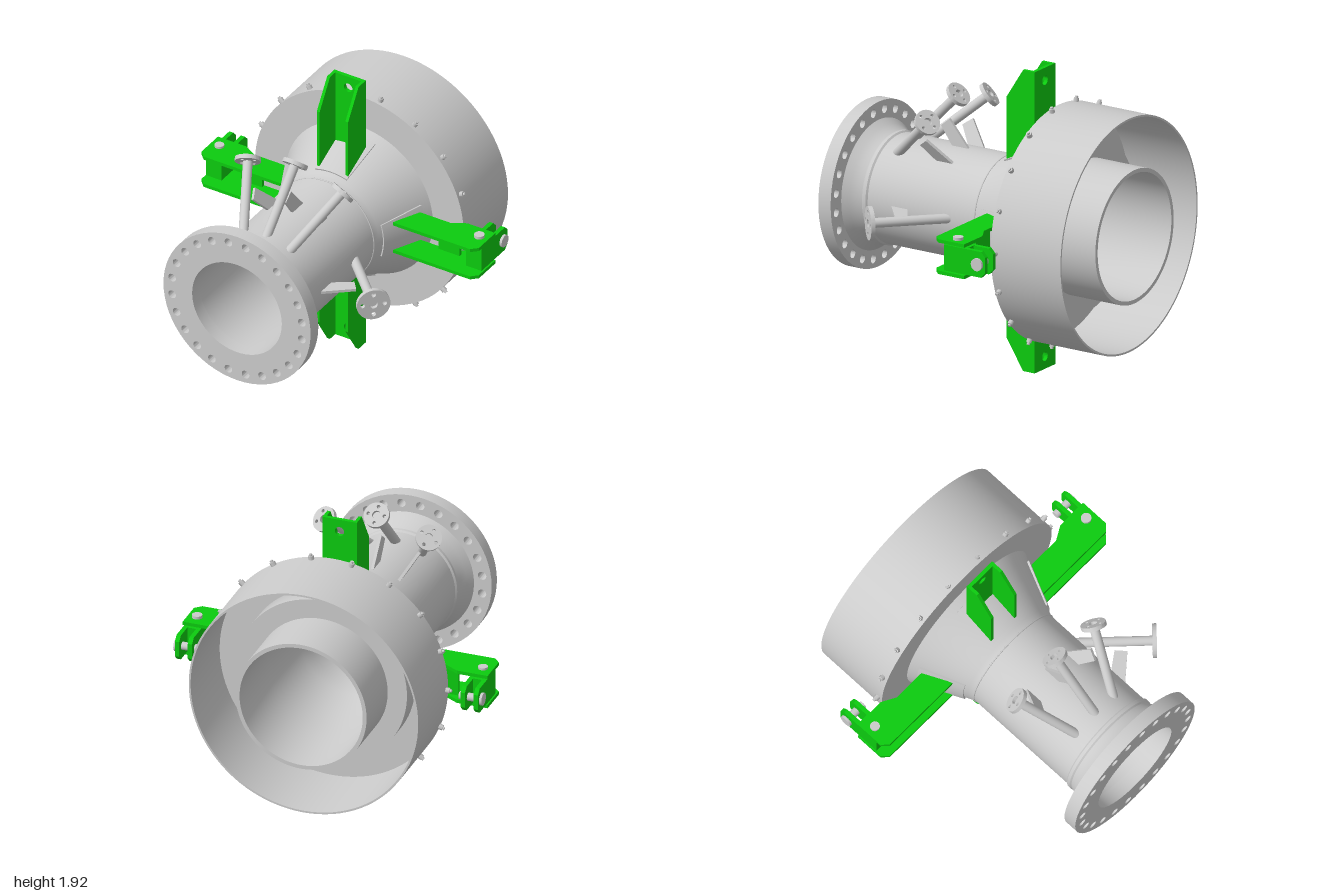
import * as THREE from 'three';
import { toCreasedNormals } from 'three/addons/utils/BufferGeometryUtils.js';

const grey = new THREE.MeshStandardMaterial({ color: 0xcccccc, side: THREE.DoubleSide });
const green = new THREE.MeshStandardMaterial({ color: 0x0ccc0f, side: THREE.DoubleSide });
const V = (x, y, z) => new THREE.Vector3(x, y, z);

function add(parent, name, geo, mat = grey) {
  const mesh = new THREE.Mesh(geo, mat);
  mesh.name = name;
  parent.add(mesh);
  return mesh;
}

// Body of revolution about z, from [radius, z] points
function turned(points, start = 0, length = Math.PI * 2, segments = 96) {
  const geo = new THREE.LatheGeometry(points.map(p => new THREE.Vector2(...p)), segments, start, length);
  return toCreasedNormals(geo.rotateX(Math.PI / 2), 0.5);
}

// Flat plate from an outline, centred on its own thickness; holes are [x, y, r]
function plate(points, thickness, holes = []) {
  return extruded(new THREE.Shape(points.map(p => new THREE.Vector2(...p))), thickness, holes);
}
function disc(radius, thickness, holes) {
  return extruded(new THREE.Shape().absarc(0, 0, radius, 0, Math.PI * 2), thickness, holes);
}
function extruded(shape, thickness, holes) {
  for (const [x, y, r] of holes) shape.holes.push(new THREE.Path().absarc(x, y, r, 0, Math.PI * 2, true));
  const geo = new THREE.ExtrudeGeometry(shape, { depth: thickness, bevelEnabled: false, curveSegments: 32 });
  return toCreasedNormals(geo.translate(0, 0, -thickness / 2), 0.5);
}

// Round bar between two points
function bar(a, b, radius, sides = 24) {
  const dir = b.clone().sub(a);
  const geo = new THREE.CylinderGeometry(radius, radius, dir.length(), sides);
  geo.applyQuaternion(new THREE.Quaternion().setFromUnitVectors(V(0, 1, 0), dir.normalize()));
  const mid = a.clone().add(b).multiplyScalar(0.5);
  return geo.translate(mid.x, mid.y, mid.z);
}

function ringHoles(count, circle, r, offset = 0) {
  return Array.from({ length: count }, (_, i) => {
    const t = (i + offset) / count * Math.PI * 2;
    return [Math.cos(t) * circle, Math.sin(t) * circle, r];
  });
}

// Flanged branch pipe leaning along the body, built upright then turned about the axis
function nozzle(angle, z0, z1, flangeRadius) {
  const g = new THREE.Group();
  g.name = 'branchNozzle';
  const lean = Math.sign(z1 - z0);
  const base = V(0, 0.32, z0), tip = V(0, 0.675, z1);
  const dir = tip.clone().sub(base).normalize();
  add(g, 'branchPipe', bar(base, tip.clone().addScaledVector(dir, -0.01), 0.03));
  const flange = add(g, 'branchFlange', disc(flangeRadius, 0.026,
    [[0, 0, 0.026], ...ringHoles(4, flangeRadius * 0.66, flangeRadius * 0.14)]));
  flange.position.copy(tip);
  flange.quaternion.setFromUnitVectors(V(0, 0, 1), dir);
  const brace = [[0.22, 0.46], [0.28, 0.51], [0.43, 0.33], [0.31, 0.33]]
    .map(([s, r]) => [z0 + lean * s, r]);
  add(g, 'branchBrace', plate(brace, 0.018).rotateY(-Math.PI / 2));
  g.rotation.z = angle;
  return g;
}

// Curved reinforcing pad wrapped over the cone
function pad(angle) {
  const g = new THREE.Group();
  g.name = 'conePad';
  add(g, 'padPlate', turned([[0.475, -0.38], [0.505, -0.37], [0.38, -0.10], [0.35, -0.11], [0.475, -0.38]],
    Math.PI - 0.3, 0.6, 16));
  for (const s of [-1, 1]) { // closed pad edges
    const edge = plate([[-0.38, 0.475], [-0.37, 0.505], [-0.10, 0.38], [-0.11, 0.35]], 0.004);
    add(g, 'padEdge', edge.rotateY(-Math.PI / 2)).rotation.z = s * 0.3;
  }
  g.rotation.z = angle;
  return g;
}

// Upright channel bracket with an eye near its end
function channelBracket(angle) {
  const g = new THREE.Group();
  g.name = 'channelBracket';
  for (const s of [-1, 1]) {
    const side = plate([[-0.12, 0.37], [-0.12, 0.77], [-0.24, 0.96], [-0.325, 0.96], [-0.325, 0.46]], 0.02);
    add(g, 'channelSide', side.rotateY(-Math.PI / 2).translate(s * 0.102, 0, 0), green);
  }
  const web = plate([[-0.11, 0.45], [0.11, 0.45], [0.11, 0.96], [-0.11, 0.96]], 0.024, [[0, 0.88, 0.03]]);
  add(g, 'channelWeb', web.translate(0, 0, -0.313), green);
  g.rotation.z = angle;
  return g;
}

// Side arm with two plates, a swivel pin and a clevis facing the rear
function sideArm(angle, pinRadius) {
  const g = new THREE.Group();
  g.name = 'sideArm';
  const outline = [[0.40, -0.17], [0.95, -0.17], [0.99, -0.21], [0.99, -0.40], [0.79, -0.40], [0.70, -0.35], [0.47, -0.35]];
  for (const s of [-1, 1])
    add(g, 'armPlate', plate(outline, 0.022).rotateX(Math.PI / 2).translate(0, s * 0.1, 0), green);
  add(g, 'armWeb', new THREE.BoxGeometry(0.15, 0.19, 0.022).translate(0.705, 0, -0.335), green);
  add(g, 'swivelPin', bar(V(0.928, -0.125, -0.315), V(0.928, 0.125, -0.315), pinRadius));
  add(g, 'swivelPinHead', bar(V(0.928, 0.11, -0.315), V(0.928, 0.13, -0.315), pinRadius + 0.012));
  add(g, 'clevisBlock', new THREE.BoxGeometry(0.112, 0.165, 0.16).translate(0.928, 0, -0.33), green);
  const ear = [[-0.38, -0.082], [-0.52, -0.082], [-0.55, -0.05], [-0.55, 0.05], [-0.52, 0.082], [-0.38, 0.082]];
  for (const x of [0.886, 0.970])
    add(g, 'clevisEar', plate(ear, 0.028).rotateY(-Math.PI / 2).translate(x, 0, 0), green);
  add(g, 'clevisPin', bar(V(0.845, 0, -0.495), V(0.995, 0, -0.495), 0.025));
  add(g, 'clevisPinHead', bar(V(0.984, 0, -0.495), V(1.0, 0, -0.495), 0.04));
  g.rotation.z = angle;
  return g;
}

export function createModel() {
  const root = new THREE.Group();
  root.name = 'flangedDuct';
  const body = new THREE.Group();
  body.name = 'ductAssembly';
  body.position.y = 0.96;
  root.add(body);

  // Main pipe, cone and rear spigot with a stepped bore
  add(body, 'mainDuct', turned([
    [0.40, -0.98], [0.425, -0.98], [0.425, -0.62], [0.55, -0.62], [0.55, -0.48], [0.525, -0.43],
    [0.49, -0.37], [0.36, -0.08], [0.345, -0.04], [0.345, 0.74], [0.355, 0.75], [0.355, 0.77],
    [0.348, 0.78], [0.358, 0.81], [0.38, 0.85], [0.41, 0.89], [0.32, 0.89], [0.32, -0.04], [0.34, -0.12],
    [0.40, -0.50], [0.40, -0.98]]));
  const weld = add(body, 'weldSeam', new THREE.TorusGeometry(0.346, 0.005, 8, 96));
  weld.position.z = -0.04;

  // Front flange with bolt holes
  add(body, 'frontFlange', disc(0.525, 0.09, [[0, 0, 0.32], ...ringHoles(24, 0.467, 0.027, 0.5)]))
    .position.z = 0.935;

  // Rear shroud, open at the back, with its front plate
  add(body, 'shroud', turned([
    [0.733, -0.94], [0.745, -0.94], [0.745, -0.43], [0.51, -0.43], [0.51, -0.445], [0.733, -0.445], [0.733, -0.94]]));

  // Bolts round the shroud
  for (let i = 0; i < 18; i++) {
    const bolt = new THREE.Group();
    bolt.name = 'shroudBolt';
    add(bolt, 'boltHead', bar(V(0, 0.74, -0.465), V(0, 0.77, -0.465), 0.018, 6));
    add(bolt, 'boltTip', bar(V(0, 0.77, -0.465), V(0, 0.782, -0.465), 0.01, 12));
    bolt.rotation.z = (i * 20 - 90) * Math.PI / 180;
    body.add(bolt);
  }

  // Pads and brackets at the four quarters
  for (let i = 0; i < 4; i++) body.add(pad(i * Math.PI / 2));
  body.add(channelBracket(0), channelBracket(Math.PI));
  body.add(sideArm(0, 0.02), sideArm(Math.PI, 0.03));

  // Three branches on top, one on the left side
  for (const a of [-1, 0, 1]) body.add(nozzle(a * Math.PI / 6, 0.65, 0.31, 0.08));
  body.add(nozzle(-Math.PI / 2, 0.15, 0.50, 0.105));
  return root;
}
